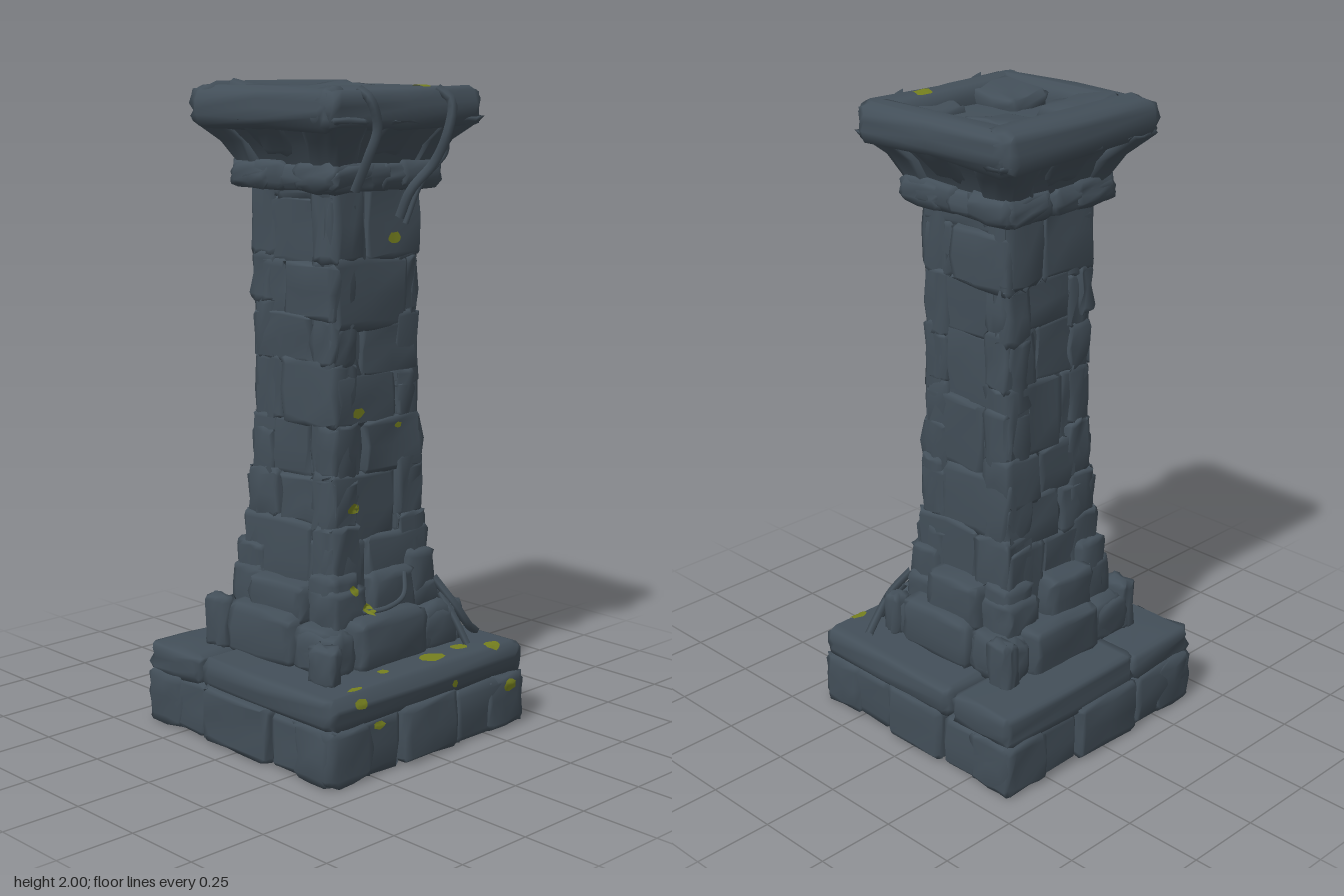
import * as THREE from 'three';
import { mergeVertices, mergeGeometries } from 'three/addons/utils/BufferGeometryUtils.js';

const stoneMat = new THREE.MeshStandardMaterial({ color: 0x434f59 });
stoneMat.name = 'slate stone';
const mossMat = new THREE.MeshStandardMaterial({ color: 0x76801f, side: THREE.DoubleSide });
mossMat.name = 'moss';

export function createModel() {
  const model = new THREE.Group();
  model.name = 'ruinedColumn';
  let seed = 11;
  const rand = () => {
    seed = (seed * 16807) % 2147483647;
    return seed / 2147483647;
  };
  const spread = (a) => (rand() * 2 - 1) * a;

  // Worn stone: a box with rounded edges and dented faces; warp reshapes it afterwards
  function stone(x0, x1, y0, y1, z0, z1, { r = 0.02, dent = 0.007, warp } = {}) {
    const half = [(x1 - x0) / 2, (y1 - y0) / 2, (z1 - z0) / 2];
    const mid = [(x0 + x1) / 2, (y0 + y1) / 2, (z0 + z1) / 2];
    r = Math.min(r, ...half.map((h) => h * 0.6));
    let g = new THREE.BoxGeometry(2, 2, 2, 4, 4, 4);
    g.deleteAttribute('uv');
    g.deleteAttribute('normal');
    g = mergeVertices(g);
    const p = g.attributes.position;
    const v = new THREE.Vector3(), inner = new THREE.Vector3();
    for (let i = 0; i < p.count; i++) {
      v.fromBufferAttribute(p, i);
      for (let k = 0; k < 3; k++) {
        const t = v.getComponent(k), s = Math.sign(t);
        const c = Math.abs(t) > 0.75 ? half[k] : Math.abs(t) > 0.25 ? half[k] - r : 0;
        v.setComponent(k, s * c);
        inner.setComponent(k, s * Math.min(c, half[k] - r));
      }
      v.sub(inner).setLength(r).add(inner);
      v.set(v.x + mid[0] + spread(dent), v.y + mid[1] + spread(dent), v.z + mid[2] + spread(dent));
      if (warp) warp(v);
      p.setXYZ(i, v.x, Math.max(0, v.y), v.z);
    }
    g.computeVertexNormals();
    return g;
  }
  function add(name, geometries, mat = stoneMat) {
    const m = new THREE.Mesh(mergeGeometries(geometries), mat);
    m.name = name;
    model.add(m);
    return m;
  }
  // Repeats a front-facing set of stones on all four sides
  function fourSides(make) {
    const out = [];
    for (let s = 0; s < 4; s++) for (const g of make(s)) out.push(g.rotateY((s * Math.PI) / 2));
    return out;
  }

  // Plinth: core, a lower course of blocks and a capping slab course
  const plinth = [stone(-0.39, 0.39, 0, 0.22, -0.39, 0.39, { dent: 0 })];
  plinth.push(...fourSides(() => {
    const a = -0.13 + spread(0.04), b = 0.14 + spread(0.04);
    return [
      stone(-0.425, a, 0, 0.175, 0.25, 0.415, { r: 0.025 }),
      stone(a, b, 0, 0.18, 0.25, 0.43, { r: 0.02 }),
      stone(b, 0.425, 0, 0.175, 0.25, 0.42, { r: 0.025 }),
    ];
  }));
  add('plinthBlocks', plinth);
  add('plinthSlabs', [
    stone(-0.42, 0.42, 0.16, 0.268, -0.16, 0.415, { r: 0.03 }),
    stone(-0.42, -0.14, 0.16, 0.262, -0.415, -0.17, { r: 0.025 }),
    stone(-0.15, 0.42, 0.16, 0.27, -0.415, -0.17, { r: 0.025 }),
  ]);

  // Stepped footing around the shaft
  add('footing', fourSides((s) => [
    stone(-0.18, 0.11, 0.25, 0.42, 0.1, 0.3, { r: 0.03 }),
    stone(0.1, 0.25, 0.25, 0.4, 0.1, 0.275, { r: 0.03 }),
    stone(-0.28, -0.17, 0.25, 0.39, 0.1, 0.275, { r: 0.03 }),
    stone(-0.1 + spread(0.04), 0.12, 0.38, 0.53 + spread(0.02), 0.1, s ? 0.265 : 0.235, { r: 0.025 }),
    stone(-0.23, -0.09, 0.37, 0.5 + spread(0.03), 0.1, 0.235, { r: 0.025 }),
    stone(0.1, 0.22, 0.37, 0.57 + spread(0.03), 0.1, 0.225, { r: 0.025 }),
  ]));

  // Shaft: solid core faced with uneven courses of stones, spreading towards the foot
  const reach = (y) => 0.18 + 0.024 * Math.max(0, Math.min(1, (1 - y) / 0.5));
  const shaft = [stone(-0.165, 0.165, 0.3, 1.72, -0.165, 0.165, { r: 0.02, dent: 0 })];
  shaft.push(...fourSides((s) => {
    const out = [];
    let y = 0.46, odd = s % 2;
    while (y < 1.66) {
      const top = Math.min(1.71, y + 0.13 + rand() * 0.1);
      const w = reach((y + top) / 2);
      const split = (odd ? 0.08 : -0.07) + spread(0.04);
      const opt = { r: 0.018, dent: 0.009 };
      out.push(stone(-w, split, y - 0.008, top + 0.008, 0.08, w + spread(0.009), opt));
      out.push(stone(split, w, y - 0.008, top + 0.008, 0.08, w + spread(0.009), opt));
      y = top;
      odd = 1 - odd;
    }
    return out;
  }));
  add('shaft', shaft);

  // Capital: neck band, flared bell, corner wedges and small brackets
  const flare = (v) => {
    const t = Math.max(0, Math.min(1, (v.y - 1.74) / 0.15));
    const k = 1 + 0.45 * t * t + 0.05 * t;
    v.x *= k;
    v.z *= k;
  };
  add('neckBand', fourSides(() => [
    stone(-0.23, spread(0.05), 1.68, 1.77, 0.05, 0.225, { r: 0.025 }),
    stone(-0.03, 0.23, 1.68, 1.765, 0.05, 0.225, { r: 0.025 }),
  ]));
  add('bell', [
    stone(-0.2, 0.2, 1.73, 1.9, -0.2, 0.2, { r: 0.02, warp: flare }),
    ...fourSides(() => [
      stone(0.11, 0.215, 1.74, 1.9, 0.11, 0.215, { r: 0.02, warp: flare }),
      stone(-0.07, 0.05, 1.78, 1.9, 0.12, 0.215, { r: 0.02, warp: flare }),
    ]),
  ]);

  // Top rim with a broken, sunken middle
  add('topRim', [
    stone(-0.315, 0.31, 1.86, 1.98, 0.19, 0.315, { r: 0.035 }),
    stone(-0.31, 0.315, 1.865, 1.99, -0.32, -0.2, { r: 0.035 }),
    stone(-0.325, -0.205, 1.86, 1.98, -0.3, 0.3, { r: 0.035 }),
    stone(0.215, 0.325, 1.86, 1.98, -0.3, 0.3, { r: 0.035 }),
  ]);
  const tilt = (ax, az) => (v) => { v.y += ax * v.x + az * v.z; };
  add('brokenTop', [
    stone(-0.23, 0.24, 1.84, 1.925, -0.22, 0.22, { r: 0.02 }),
    stone(-0.22, -0.06, 1.86, 1.945, 0.04, 0.22, { warp: tilt(-0.1, 0.1) }),
    stone(-0.23, -0.06, 1.86, 1.945, -0.24, -0.05, { warp: tilt(-0.1, -0.15) }),
    stone(0.05, 0.24, 1.86, 1.95, -0.23, -0.05, { warp: tilt(0.1, -0.1) }),
    stone(0.03, 0.22, 1.86, 1.935, 0.13, 0.23, { warp: tilt(0, 0.1) }),
  ]);

  // Rubble resting on the plinth corners
  add('rubble', [
    stone(-0.33, -0.27, 0.25, 0.375, 0.22, 0.32, { r: 0.025 }),
    stone(0.23, 0.3, 0.25, 0.4, 0.2, 0.27, { r: 0.025 }),
    stone(-0.31, -0.24, 0.25, 0.42, -0.28, -0.18, { r: 0.025 }),
    stone(0.24, 0.3, 0.25, 0.41, -0.29, -0.2, { r: 0.025 }),
  ]);

  // Dried vines hanging from the rim, and roots at the foot
  const vine = (radius, ...pts) => new THREE.TubeGeometry(
    new THREE.CatmullRomCurve3(pts.map((p) => new THREE.Vector3(...p))), 18, radius, 5);
  add('vines', [
    vine(0.015, [-0.19, 1.975, 0.29], [-0.18, 1.95, 0.325], [-0.15, 1.87, 0.325], [-0.16, 1.79, 0.3], [-0.165, 1.69, 0.25]),
    vine(0.015, [0.13, 1.975, 0.29], [0.15, 1.94, 0.33], [0.14, 1.85, 0.325], [0.13, 1.76, 0.28], [0.08, 1.68, 0.235], [0.07, 1.6, 0.2]),
    vine(0.009, [0.14, 1.83, 0.32], [0.16, 1.79, 0.3], [0.12, 1.7, 0.24], [0.09, 1.58, 0.205]),
  ]);
  add('roots', [
    vine(0.014, [0.22, 0.47, 0.21], [0.26, 0.38, 0.27], [0.31, 0.31, 0.28], [0.365, 0.275, 0.26]),
    vine(0.012, [0.23, 0.42, 0.23], [0.24, 0.34, 0.29], [0.25, 0.27, 0.33]),
    vine(0.008, [-0.12, 0.43, 0.24], [-0.04, 0.435, 0.265], [0.03, 0.46, 0.265], [0.065, 0.52, 0.235]),
  ]);

  // Moss: ragged discs laid onto the stone along a given direction
  const targets = [...model.children];
  const ray = new THREE.Raycaster();
  function moss(x, h, rx, ry, down, startY = 3) {
    const dir = down ? new THREE.Vector3(0, -1, 0) : new THREE.Vector3(0, 0, -1);
    const pos = [], index = [], n = 12;
    let last = null;
    for (let i = 0; i <= n * 2; i++) {
      const ring = i === 0 ? 0 : i <= n ? 0.5 : 0.85 + rand() * 0.3;
      const a = (i / n) * Math.PI * 2;
      const px = x + Math.cos(a) * rx * ring, ph = h + Math.sin(a) * ry * ring;
      ray.set(down ? new THREE.Vector3(px, startY, ph) : new THREE.Vector3(px, ph, 3), dir);
      const hit = ray.intersectObjects(targets)[0];
      const d = hit ? hit.point.getComponent(down ? 1 : 2) + 0.004 : last;
      if (last === null) last = d;
      const near = Math.abs(d - last) < 0.05 ? d : last;
      pos.push(px, down ? near : ph, down ? ph : near);
    }
    for (let i = 0; i < n; i++) {
      const a = 1 + i, b = 1 + ((i + 1) % n);
      const t = [0, a, b, a, a + n, b + n, a, b + n, b];
      if (down) t.reverse();
      index.push(...t);
    }
    const g = new THREE.BufferGeometry();
    g.setAttribute('position', new THREE.Float32BufferAttribute(pos, 3));
    g.setIndex(index);
    g.computeVertexNormals();
    return g;
  }
  const onFront = [[0.06, 1.54, 0.025, 0.016], [-0.085, 1.025, 0.026, 0.016], [0.08, 0.97, 0.014, 0.01],
    [-0.11, 0.74, 0.028, 0.016], [-0.145, 0.5, 0.016, 0.015], [-0.1, 0.44, 0.02, 0.014],
    [0.34, 0.14, 0.026, 0.02], [-0.22, 0.15, 0.022, 0.012], [-0.3, 0.235, 0.024, 0.016], [0.1, 0.2, 0.012, 0.012]];
  const onTop = [[0.07, 0.35, 0.042, 0.035], [0.205, 0.335, 0.025, 0.025], [0.3, 0.385, 0.03, 0.02],
    [-0.13, 0.34, 0.018, 0.016], [-0.29, 0.385, 0.028, 0.012]];
  add('mossPatches', [
    ...onFront.map((m) => moss(...m, false)),
    ...onTop.map((m) => moss(...m, true, 1)),
    moss(0.11, 0.245, 0.03, 0.03, true),
  ], mossMat);
  return model;
}
